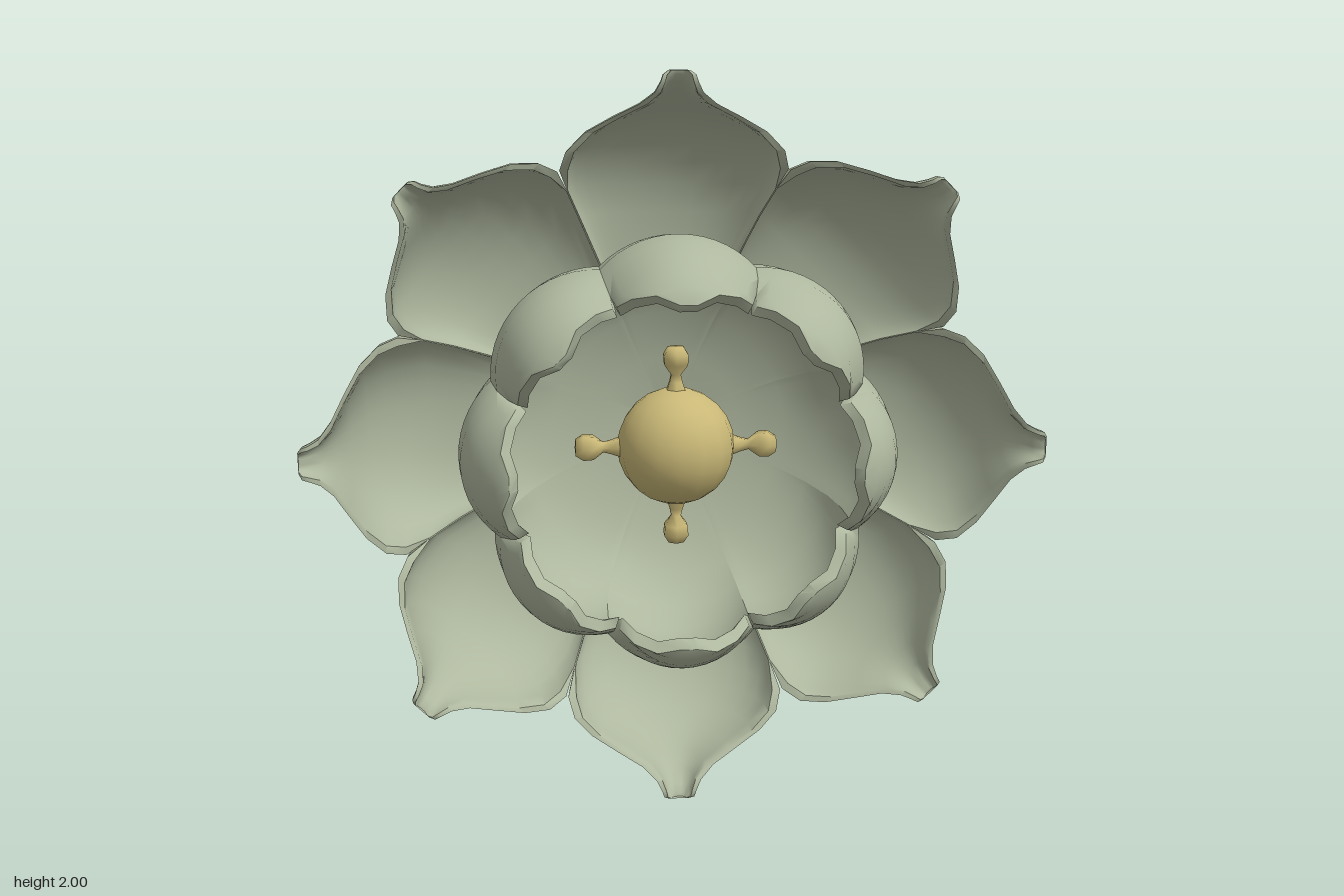
import * as THREE from 'three';
import { toCreasedNormals } from 'three/addons/utils/BufferGeometryUtils.js';

const green = new THREE.MeshStandardMaterial({ color: 0xafb89f });
green.name = 'sageGreen';
const gold = new THREE.MeshStandardMaterial({ color: 0xc9b877 });
gold.name = 'paleGold';

const STEPS = 14; // divisions across a petal

// Skin closed cross-section loops into one smooth solid with a capped tip
function loft(loops) {
  const n = loops[0].length, index = [];
  for (let i = 0; i < loops.length - 1; i++) {
    for (let j = 0; j < n; j++) {
      const k = (j + 1) % n;
      const a = i * n + j, b = i * n + k, c = a + n, d = b + n;
      index.push(a, c, b, b, c, d);
    }
  }
  const last = (loops.length - 1) * n;
  for (let j = 1; j < n - 1; j++) index.push(last, last + j + 1, last + j);
  const geo = new THREE.BufferGeometry();
  geo.setAttribute('position', new THREE.Float32BufferAttribute(loops.flat(2), 3));
  geo.setIndex(index);
  return toCreasedNormals(geo, 1.1);
}

// One loop: back skin from left to right, then front skin from right to left
function loop(back, front) {
  const pts = [];
  for (let j = 0; j <= STEPS; j++) pts.push(back(j / STEPS * 2 - 1));
  for (let j = STEPS; j >= 0; j--) pts.push(front(j / STEPS * 2 - 1));
  return pts;
}

// Spoon-shaped petal pointing up; stations: radius, keel z, half width, edge z
function outerPetal() {
  const stations = [
    [0.03, -0.315, 0.0124, -0.314], [0.15, -0.328, 0.0621, -0.322], [0.21, -0.35, 0.087, -0.325],
    [0.3, -0.364, 0.1243, -0.315], [0.45, -0.364, 0.1864, -0.27], [0.6, -0.35, 0.2485, -0.185],
    [0.68, -0.33, 0.2817, -0.11], [0.74, -0.304, 0.303, -0.035], [0.79, -0.272, 0.287, 0],
    [0.84, -0.23, 0.238, 0.015], [0.88, -0.175, 0.168, 0.04], [0.915, -0.11, 0.1, 0.07],
    [0.945, -0.058, 0.062, 0.1], [0.972, -0.008, 0.048, 0.112], [0.99, 0.022, 0.042, 0.112],
    [1.0, 0.05, 0.028, 0.1],
  ];
  return loft(stations.map(([r, keel, w, edge]) => {
    const t = Math.min(0.045, w * 0.5);
    const rim = r < 0.72 ? 0.002 : t * 0.5; // joined near the heart, thick lip when free
    const fill = Math.max(0, (r - 0.86) / 0.14) * 0.75 * (edge - keel); // solid knob at the tip
    const skin = (half, low) => (s) => {
      const a = s * Math.PI / 2;
      const across = Math.sign(s) * Math.abs(Math.sin(a)) ** 0.9;
      return [half * across, r, edge - (edge - low) * Math.abs(Math.cos(a)) ** 0.9];
    };
    return loop(skin(w, keel), skin(w - rim, Math.min(edge, keel + Math.max(t, fill))));
  }));
}

// Cup petal that rises and curls inward; stations: radius, z, share of its sector, bulge
function innerPetal() {
  const stations = [
    [0.03, -0.29, 1, 0], [0.2, -0.285, 1, 0], [0.34, -0.255, 1, 0], [0.45, -0.195, 1, 0.02],
    [0.53, -0.115, 1, 0.05], [0.573, -0.02, 1, 0.075], [0.585, 0.07, 1, 0.085],
    [0.577, 0.16, 1, 0.105], [0.56, 0.22, 1, 0.135], [0.543, 0.26, 0.97, 0.16],
    [0.52, 0.3, 0.74, 0.16], [0.488, 0.338, 0.42, 0.15], [0.45, 0.367, 0.12, 0.15],
  ];
  return loft(stations.map(([r, z, share, bulge], i) => {
    const p = stations[Math.max(i - 1, 0)], q = stations[Math.min(i + 1, stations.length - 1)];
    const dr = q[0] - p[0], dz = q[1] - p[1], len = Math.hypot(dr, dz);
    const t = Math.min(0.036, r * 0.5);
    const skin = (radius, height) => (s) => {
      const u = s * share, a = u * Math.PI / 8;
      const bulged = radius * (1 - bulge * u * u);
      return [bulged * Math.sin(a), bulged * Math.cos(a), height];
    };
    return loop(skin(r, z), skin(r - dz / len * t, z + dr / len * t));
  }));
}

export function createModel() {
  const model = new THREE.Group();
  model.name = 'flower';
  const bloom = new THREE.Group();
  bloom.name = 'bloom';
  bloom.position.y = 1;
  model.add(bloom);

  const add = (name, geometry, material) => {
    const mesh = new THREE.Mesh(geometry, material);
    mesh.name = name;
    bloom.add(mesh);
    return mesh;
  };

  // Two rings of eight petals
  const outer = outerPetal(), inner = innerPetal();
  for (let i = 0; i < 8; i++) {
    add('outerPetal', outer, green).rotation.z = i * Math.PI / 4;
    add('innerPetal', inner, green).rotation.z = i * Math.PI / 4;
  }

  // Golden centre on a short stem, ending in a flat disc at the back
  add('centreBall', new THREE.SphereGeometry(0.16, 16, 12), gold);
  const stem = add('stem', new THREE.CylinderGeometry(0.06, 0.07, 0.24, 12), gold);
  stem.rotation.x = Math.PI / 2;
  stem.position.z = -0.19;
  const base = add('backDisc', new THREE.CylinderGeometry(0.155, 0.155, 0.03, 20), gold);
  base.rotation.x = Math.PI / 2;
  base.position.z = -0.316;

  // Four knobbed stamens
  const profile = [[0.032, 0.145], [0.02, 0.178], [0.015, 0.198], [0.036, 0.225], [0.038, 0.252], [0.024, 0.273], [0, 0.275]];
  const stamen = new THREE.LatheGeometry(profile.map(([x, y]) => new THREE.Vector2(x, y)), 6);
  for (let i = 0; i < 4; i++) add('stamen', stamen, gold).rotation.z = i * Math.PI / 2;

  return model;
}
